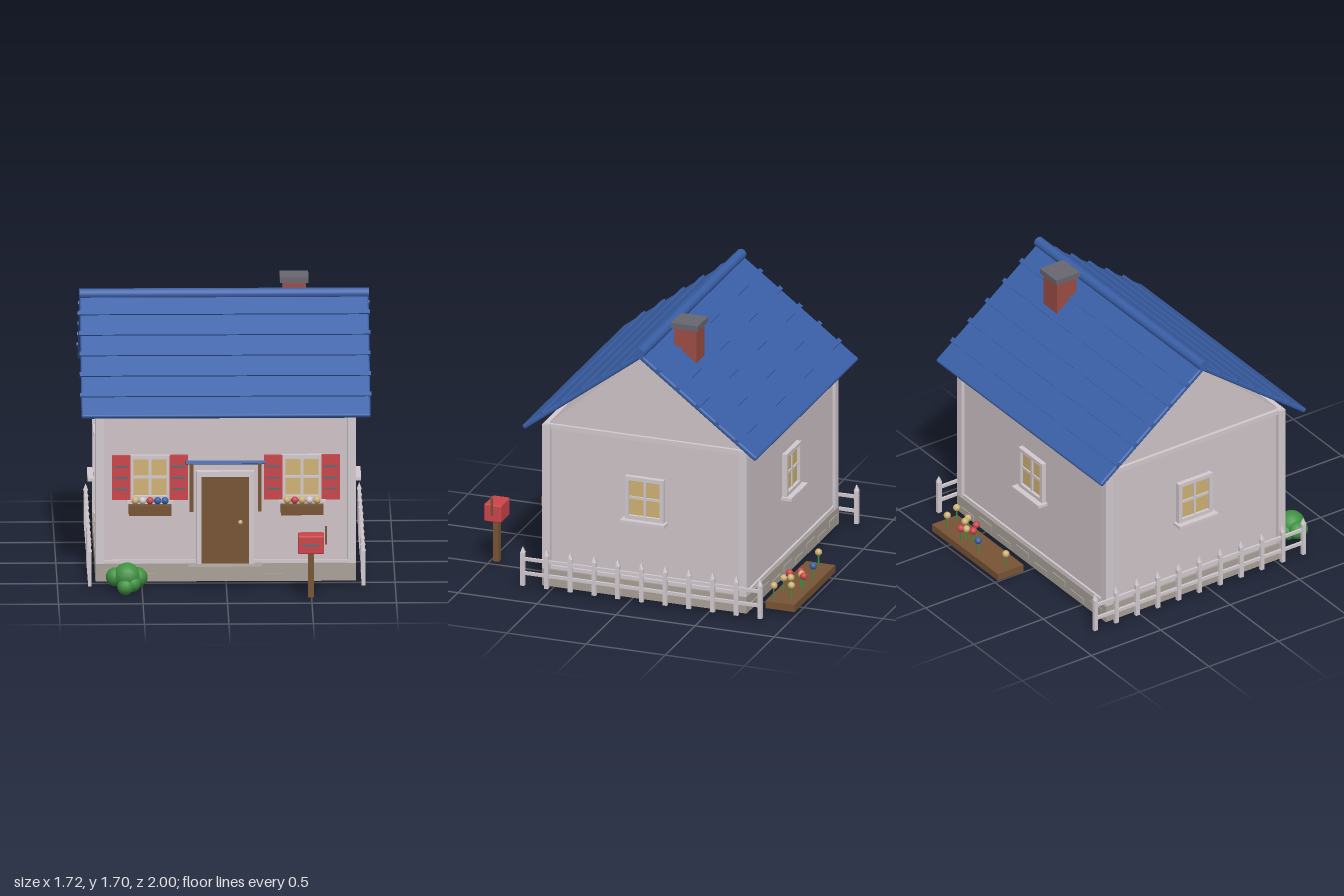
import * as THREE from 'three';
import { RoundedBoxGeometry } from 'three/addons/geometries/RoundedBoxGeometry.js';

const colours = {
  wall: 0xcfc4c8, trim: 0xd2cacf, roofBlue: 0x3a60a8, red: 0xcc454b, wood: 0x785435,
  stone: 0xa9a198, cream: 0xd0b274, brick: 0x9c4d45, slate: 0x686670, leaf: 0x409242,
};
const M = {};

function add(parent, name, geo, mat, x = 0, y = 0, z = 0) {
  const m = new THREE.Mesh(geo, M[mat]);
  m.name = name;
  m.position.set(x, y, z);
  parent.add(m);
  return m;
}
const box = (p, name, mat, w, h, d, x, y, z) => add(p, name, new THREE.BoxGeometry(w, h, d), mat, x, y, z);
const ball = (p, name, mat, r, x, y, z) => add(p, name, new THREE.SphereGeometry(r, 14, 10), mat, x, y, z);

function group(parent, name, x = 0, y = 0, z = 0) {
  const g = new THREE.Group();
  g.name = name;
  g.position.set(x, y, z);
  parent.add(g);
  return g;
}

function flower(parent, mat, x, y, z, stem) {
  const g = group(parent, 'flower', x, y, z);
  add(g, 'stem', new THREE.CylinderGeometry(0.005, 0.005, stem, 6), 'leaf', 0, stem / 2, 0);
  ball(g, 'bloom', mat, 0.022, 0, stem, 0);
}

// Window facing +z, its origin on the wall at the middle of the panes
function makeWindow(parent, name, x, y, z, turn) {
  const g = group(parent, name, x, y, z);
  g.rotation.y = turn;
  box(g, 'panes', 'cream', 0.2, 0.23, 0.008, 0, 0, 0.008);
  for (const s of [-1, 1]) {
    box(g, 'frameSide', 'trim', 0.024, 0.27, 0.03, s * 0.11, 0, 0.015);
    box(g, 'frameRail', 'trim', 0.2, 0.024, 0.03, 0, s * 0.123, 0.015);
  }
  box(g, 'uprightBar', 'trim', 0.016, 0.23, 0.016, 0, 0, 0.012);
  box(g, 'crossBar', 'trim', 0.2, 0.016, 0.016, 0, 0, 0.012);
  box(g, 'sill', 'trim', 0.28, 0.018, 0.065, 0, -0.143, 0.0325);
  return g;
}

function shutter(parent, x) {
  const g = group(parent, 'shutter', x, 0, 0);
  box(g, 'shutterPanel', 'red', 0.108, 0.27, 0.024, 0, 0, 0.022);
  for (const y of [-0.068, 0, 0.068]) box(g, 'shutterSlat', 'slate', 0.08, 0.013, 0.008, 0, y, 0.035);
}

function flowerBox(parent, mats) {
  const g = group(parent, 'flowerBox', 0, -0.185, 0.065);
  box(g, 'planter', 'wood', 0.252, 0.06, 0.07, 0, 0, 0);
  mats.forEach((m, i) => flower(g, m, (i - 2) * 0.044, 0.025, 0.012, 0.032));
}

function buildWalls(house) {
  box(house, 'foundation', 'stone', 1.544, 0.108, 1.296, 0, 0.084, 0);
  for (let i = 0; i < 8; i++) {
    for (const s of [-1, 1]) {
      box(house, 'foundationStone', 'stone', 0.13, 0.036, 0.01, -0.67 + i * 0.19, i % 2 ? 0.06 : 0.085, s * 0.649);
    }
  }
  box(house, 'walls', 'wall', 1.49, 0.92, 1.254, 0, 0.59, 0);
  for (const s of [-1, 1]) {
    for (const t of [-1, 1]) box(house, 'cornerPost', 'trim', 0.05, 0.92, 0.05, s * 0.747, 0.595, t * 0.622);
    box(house, 'baseboardFrontBack', 'trim', 1.45, 0.022, 0.02, 0, 0.147, s * 0.63);
    box(house, 'baseboardSide', 'trim', 0.02, 0.022, 1.2, s * 0.75, 0.147, 0);
    box(house, 'eaveTrim', 'trim', 1.5, 0.03, 0.03, 0, 1.045, s * 0.628);
    box(house, 'gableTrim', 'trim', 0.03, 0.03, 1.26, s * 0.75, 1.045, 0);
  }
  // Triangular gable block under the roof
  const tri = new THREE.Shape([
    new THREE.Vector2(-0.62, 1.05), new THREE.Vector2(0.62, 1.05), new THREE.Vector2(0, 1.585)]);
  const gable = new THREE.ExtrudeGeometry(tri, { depth: 1.49, bevelEnabled: false });
  gable.translate(0, 0, -0.745).rotateY(Math.PI / 2);
  add(house, 'gables', gable, 'wall');
}

function buildRoof(house) {
  for (const turn of [0, Math.PI]) {
    const side = group(house, 'roofSide');
    side.rotation.y = turn;
    const slope = group(side, 'roofSlope', 0, 1.331, 0.366);
    slope.rotation.x = 0.646;
    add(slope, 'roofSlab', new RoundedBoxGeometry(1.712, 0.03, 0.93, 2, 0.012), 'roofBlue');
    for (let i = 0; i < 5; i++) {
      box(slope, 'shingleStrip', 'roofBlue', 1.724, 0.018, 0.028, 0, 0.015, -0.318 + i * 0.156);
    }
  }
  const ridge = new THREE.CylinderGeometry(0.032, 0.032, 1.714, 16).rotateZ(Math.PI / 2);
  add(house, 'ridgeCap', ridge, 'roofBlue', 0, 1.624, 0);
  box(house, 'chimneyStack', 'brick', 0.14, 0.32, 0.14, 0.417, 1.515, -0.152);
  box(house, 'chimneyCap', 'slate', 0.17, 0.034, 0.17, 0.417, 1.684, -0.152);
}

function buildEntrance(house) {
  const g = group(house, 'entrance', -0.004, 0, 0.627);
  box(g, 'door', 'wood', 0.282, 0.535, 0.03, 0, 0.405, 0.018);
  for (const s of [-1, 1]) {
    box(g, 'doorFrameSide', 'trim', 0.03, 0.565, 0.045, s * 0.156, 0.42, 0.02);
    box(g, 'awningPost', 'wood', 0.022, 0.29, 0.022, s * 0.202, 0.645, 0.195);
  }
  box(g, 'doorFrameTop', 'trim', 0.342, 0.032, 0.045, 0, 0.687, 0.02);
  ball(g, 'doorKnob', 'cream', 0.014, 0.09, 0.394, 0.045);
  box(g, 'doorStep', 'stone', 0.434, 0.036, 0.13, 0, 0.122, 0.045);
  const awning = box(g, 'awning', 'roofBlue', 0.47, 0.02, 0.215, 0, 0.778, 0.115);
  awning.rotation.x = -0.262;
}

function buildFence(parent, x) {
  const g = group(parent, 'fence', x, 0, -0.09);
  for (let i = 0; i < 11; i++) {
    const z = 0.75 - i * 0.15;
    box(g, 'picket', 'trim', 0.022, 0.21, 0.026, 0, 0.135, z);
    const tip = new THREE.ConeGeometry(0.02, 0.04, 4).rotateY(Math.PI / 4);
    add(g, 'picketTip', tip, 'trim', 0, 0.26, z);
  }
  for (const y of [0.11, 0.2]) box(g, 'fenceRail', 'trim', 0.014, 0.02, 1.53, 0, y, 0);
}

function buildMailbox(parent) {
  const g = group(parent, 'mailbox', 0.495, 0, 0.943);
  box(g, 'mailboxPost', 'wood', 0.036, 0.28, 0.036, 0, 0.17, 0);
  add(g, 'mailboxBody', new RoundedBoxGeometry(0.154, 0.11, 0.108, 2, 0.008), 'red', 0, 0.357, 0);
  box(g, 'mailSlot', 'slate', 0.095, 0.014, 0.008, 0, 0.357, 0.054);
  box(g, 'mailFlag', 'wood', 0.01, 0.11, 0.012, 0.089, 0.405, 0);
}

function buildBush(parent) {
  const g = group(parent, 'bush', -0.59, 0, 0.728);
  const lumps = [
    [0, 0.105, 0, 0.082], [-0.07, 0.1, -0.01, 0.056], [0.062, 0.095, -0.02, 0.06],
    [-0.01, 0.055, 0.052, 0.05], [0.03, 0.07, 0.03, 0.052], [-0.03, 0.08, -0.045, 0.05],
  ];
  for (const [x, y, z, r] of lumps) ball(g, 'bushLump', 'leaf', r, x, y, z);
}

function buildFlowerBed(parent) {
  const g = group(parent, 'flowerBed');
  box(g, 'soilBed', 'wood', 0.685, 0.045, 0.185, 0.312, 0.056, -0.907);
  const blooms = [
    ['cream', 0.016, -0.91], ['roofBlue', 0.233, -0.958], ['red', 0.34, -0.92], ['cream', 0.38, -0.94],
    ['red', 0.405, -0.963], ['cream', 0.455, -0.9], ['cream', 0.476, -0.863], ['red', 0.386, -0.867],
    ['cream', 0.57, -0.947], ['cream', 0.61, -0.852],
  ];
  for (const [m, x, z] of blooms) flower(g, m, x, 0.075, z, 0.09);
}

export function createModel() {
  for (const [name, color] of Object.entries(colours)) {
    M[name] = new THREE.MeshStandardMaterial({ color });
    M[name].name = name;
  }
  const model = new THREE.Group();
  model.name = 'cottage';
  const house = group(model, 'house', -0.003, 0, -0.092);
  buildWalls(house);
  buildRoof(house);
  buildEntrance(house);

  // Front windows with shutters and flower boxes, then plain ones on the other walls
  const boxes = [['cream', 'trim', 'red', 'roofBlue', 'roofBlue'], ['cream', 'red', 'cream', 'trim', 'cream']];
  [-0.449, 0.451].forEach((x, i) => {
    const w = makeWindow(house, 'frontWindow', x, 0.665, 0.627, 0);
    for (const s of [-1, 1]) shutter(w, s * 0.17);
    flowerBox(w, boxes[i]);
  });
  for (const s of [-1, 1]) makeWindow(house, 'sideWindow', s * 0.745, 0.665, 0, s * Math.PI / 2);
  makeWindow(house, 'backWindow', 0, 0.665, -0.627, Math.PI);

  for (const s of [-1, 1]) buildFence(model, s * 0.81);
  buildMailbox(model);
  buildBush(model);
  buildFlowerBed(model);
  return model;
}
